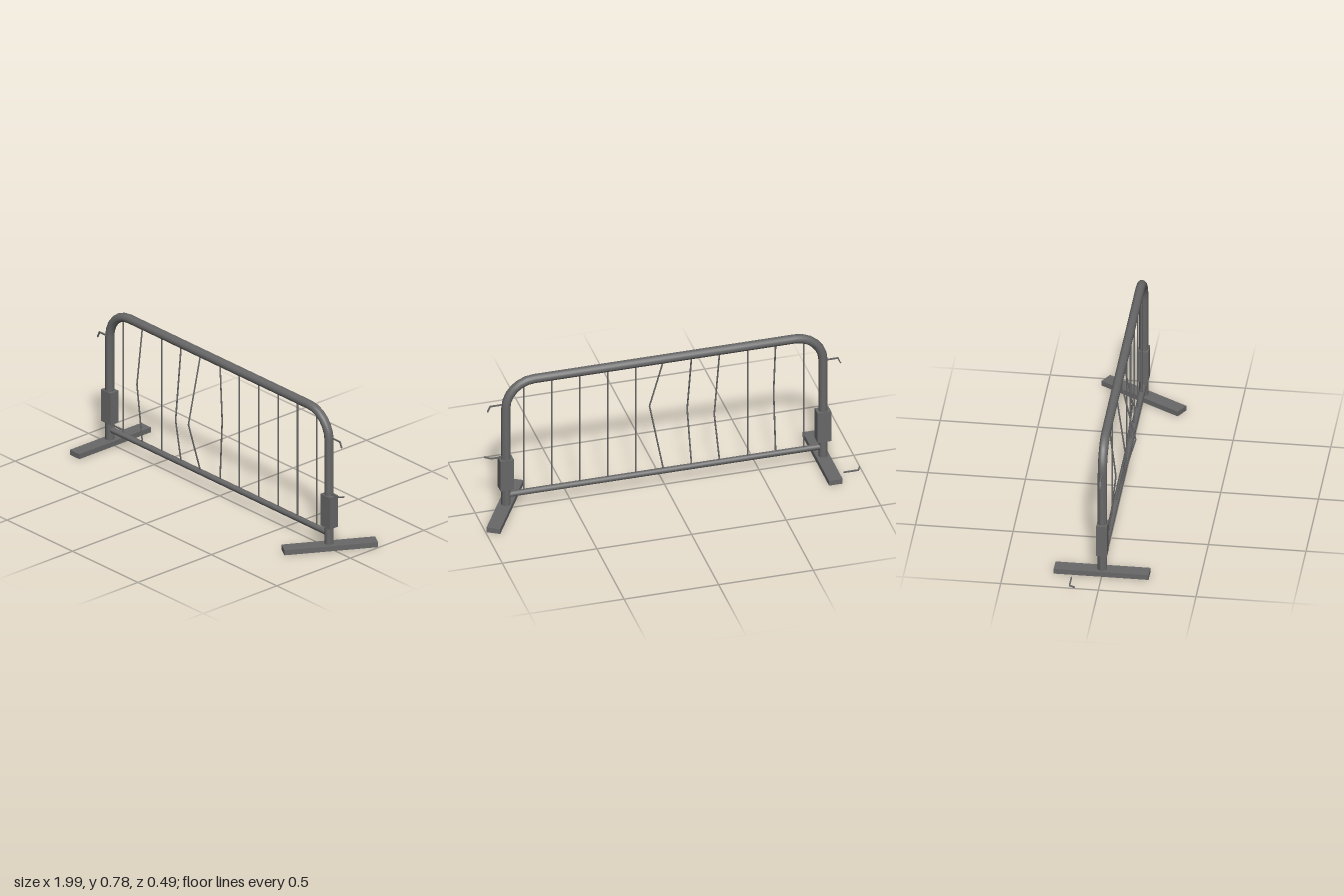
import * as THREE from 'three';
import { toCreasedNormals } from 'three/addons/utils/BufferGeometryUtils.js';

const V = (x, y, z = 0) => new THREE.Vector3(x, y, z);

// Capped tube along a planar polyline, with mitred joints
function tubeGeometry(points, radius, sides) {
  const dirs = points.slice(1).map((p, i) => p.clone().sub(points[i]).normalize());
  const binormal = V(0, 0, 1);
  for (let i = 1; i < dirs.length; i++) {
    const c = dirs[i - 1].clone().cross(dirs[i]);
    if (c.length() > 1e-4) { binormal.copy(c.normalize()); break; }
  }
  const pos = [], index = [], last = points.length - 1;
  points.forEach((p, i) => {
    const before = dirs[Math.max(i - 1, 0)], after = dirs[Math.min(i, last - 1)];
    const t = before.clone().add(after).normalize();
    const n = binormal.clone().cross(t).divideScalar(t.dot(after));
    for (let j = 0; j < sides; j++) {
      const a = (j + 0.5) / sides * Math.PI * 2;
      const v = p.clone().addScaledVector(n, radius * Math.cos(a)).addScaledVector(binormal, radius * Math.sin(a));
      pos.push(v.x, v.y, v.z);
    }
  });
  for (let i = 0; i < last; i++) {
    for (let j = 0; j < sides; j++) {
      const a = i * sides + j, b = i * sides + (j + 1) % sides;
      index.push(a, b, a + sides, b, b + sides, a + sides);
    }
  }
  for (let j = 1; j < sides - 1; j++) {
    const e = last * sides;
    index.push(0, j + 1, j, e, e + j, e + j + 1);
  }
  const g = new THREE.BufferGeometry();
  g.setAttribute('position', new THREE.Float32BufferAttribute(pos, 3));
  g.setIndex(index);
  return toCreasedNormals(g, 0.9);
}

export function createModel() {
  const group = new THREE.Group();
  const steel = new THREE.MeshStandardMaterial({ color: 0x686868 });
  steel.name = 'dark grey steel';

  const add = (name, geometry, x = 0, y = 0, z = 0) => {
    const mesh = new THREE.Mesh(geometry, steel);
    mesh.name = name;
    mesh.position.set(x, y, z);
    group.add(mesh);
    return mesh;
  };
  const tube = (name, points, radius, sides) => add(name, tubeGeometry(points, radius, sides));

  // Main frame: two posts joined over the top with rounded corners
  const px = 0.838, top = 0.752, bend = 0.15, steps = 6;
  const path = [V(-px, 0.02)];
  for (const side of [-1, 1]) {
    for (let i = 0; i <= steps; i++) {
      const a = (side < 0 ? i : steps - i) / steps * Math.PI / 2;
      path.push(V(side * (px - bend + bend * Math.cos(a)), top - bend + bend * Math.sin(a)));
    }
  }
  path.push(V(px, 0.02));
  tube('frame', path, 0.0235, 16);
  tube('bottomRail', [V(-0.825, 0.083), V(0.825, 0.083)], 0.016, 12);

  // Sleeves around the posts
  for (const side of [-1, 1]) {
    add(side > 0 ? 'leftSleeve' : 'rightSleeve', new THREE.BoxGeometry(0.072, 0.177, 0.055), side * px, 0.212, 0);
  }

  // Flat feet, one knocked askew
  const foot = new THREE.BoxGeometry(0.072, 0.028, 0.486);
  add('rightFoot', foot, -0.836, 0.014, -0.002);
  add('leftFoot', foot, 0.843, 0.014, 0).rotation.y = -Math.PI / 6;

  // Upright bars; some are dented: bar number -> [dx, y, z] of the kink
  const dents = { 1: [0, 0.43, 0.038], 3: [0.014, 0.34, 0.051], 4: [0, 0.374, 0.083], 5: [0.063, 0.455, 0.041] };
  for (let i = 0; i < 11; i++) {
    const x = -0.736 + i * 0.148;
    const points = [V(x, 0.085), V(x, 0.745)];
    if (dents[i]) {
      const [dx, y, z] = dents[i];
      points.splice(1, 0, V(x + dx, y, z));
    }
    tube('bar', points, 0.0042, 8);
  }

  // Coupling hooks on the posts, plus one broken off on the ground
  const hooks = {
    rightHook: [V(-0.85, 0.598), V(-0.917, 0.598), V(-0.931, 0.566)],
    leftUpperHook: [V(0.85, 0.624), V(0.92, 0.624), V(0.935, 0.594)],
    leftLowerHook: [V(0.85, 0.311), V(0.915, 0.311), V(0.952, 0.326)],
    fallenHook: [V(-0.904, 0.005, -0.15), V(-0.982, 0.005, -0.15), V(-0.996, 0.005, -0.122)],
  };
  for (const [name, points] of Object.entries(hooks)) tube(name, points, 0.0048, 4);

  return group;
}
